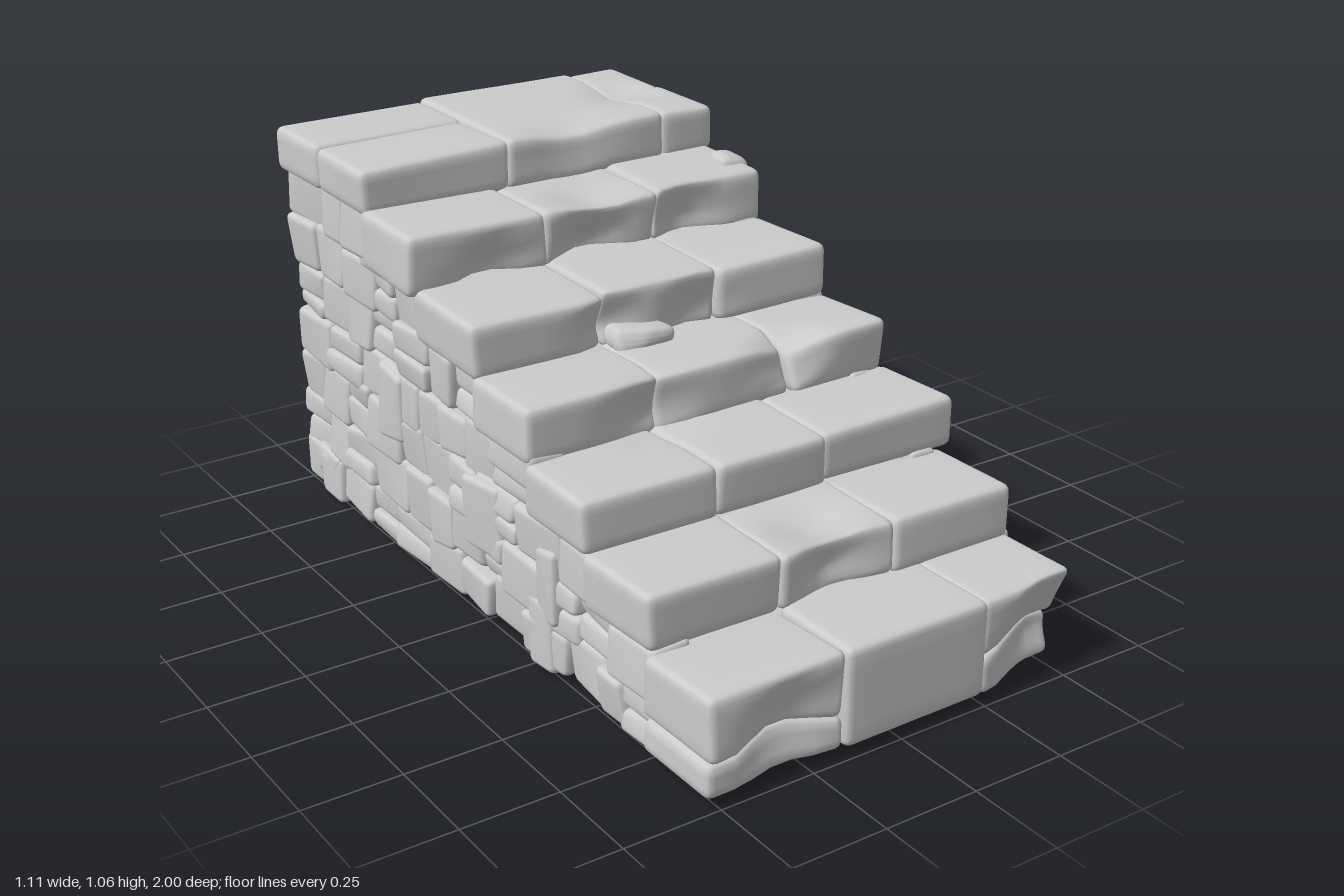
import * as THREE from 'three';
import { mergeVertices } from 'three/addons/utils/BufferGeometryUtils.js';

const material = new THREE.MeshStandardMaterial({ color: 0xcccccc });

let seed = 11;
function rnd(a = 0, b = 1) {
  seed = (seed * 16807) % 2147483647;
  return a + (b - a) * (seed / 2147483647);
}

// Chips and dents: centre, reach and push
const dents = [
  [[-0.32, 0.80, -0.25], 0.11, [0, 0, -0.06]],
  [[-0.02, 0.81, -0.25], 0.13, [0, 0, -0.07]],
  [[0.28, 0.82, -0.25], 0.13, [0, 0, -0.06]],
  [[0.02, 0.94, -0.33], 0.13, [0, -0.03, 0]],
  [[-0.15, 0.71, 0.02], 0.10, [0, -0.01, -0.05]],
  [[0.10, 0.68, 0.03], 0.12, [0, 0, -0.04]],
  [[-0.18, 0.58, 0.26], 0.13, [0, -0.02, -0.05]],
  [[0.24, 0.66, 0.26], 0.12, [0, -0.04, -0.04]],
  [[0.0, 0.33, 0.75], 0.14, [0, 0, -0.05]],
  [[0.0, 0.40, 0.65], 0.13, [0, -0.03, 0]],
  [[-0.32, 0.12, 1.0], 0.14, [0, 0.02, -0.05]],
  [[0.47, 0.10, 1.0], 0.2, [-0.02, 0.02, -0.08]],
  [[0.08, 1.05, -0.49], 0.14, [0, -0.03, -0.02]],
  [[0.38, 1.05, -0.74], 0.12, [0, -0.03, 0]],
  [[-0.1, 0.45, -1.0], 0.4, [0, 0, 0.03]],
  [[0.2, 0.8, -1.0], 0.3, [0, 0, 0.02]],
].map(([c, r, p]) => ({ c: new THREE.Vector3(...c), r, p: new THREE.Vector3(...p) }));

// Worn stone filling [x0,x1] [y0,y1] [z0,z1]: rounded edges, skewed corners, dents
function stone(name, [x0, x1], [y0, y1], [z0, z1], { r = 0.022, skew = 0.007, n = 10 } = {}) {
  const half = [(x1 - x0) / 2, (y1 - y0) / 2, (z1 - z0) / 2];
  const mid = new THREE.Vector3((x0 + x1) / 2, (y0 + y1) / 2, (z0 + z1) / 2);
  const rad = Math.min(r, ...half.map((h) => h * 0.8));
  const source = new THREE.BoxGeometry(2, 2, 2, n, n, n);
  source.deleteAttribute('uv');
  source.deleteAttribute('normal');
  const geo = mergeVertices(source);
  const corners = Array.from({ length: 8 }, () =>
    new THREE.Vector3(rnd(-skew, skew), rnd(-skew, skew), rnd(-skew, skew)));
  const pos = geo.attributes.position;
  const p = new THREE.Vector3(), inner = new THREE.Vector3();
  // Two rings of every face lie in the rounded edge, the rest spread evenly
  const spread = (t, h) => {
    const i = Math.round((t + 1) * n / 2), e = Math.min(i, n - i), s = Math.sign(t);
    if (e < 2) return s * (e === 0 ? h : h - rad * 0.42);
    return (h - rad) * (i - n / 2) / (n / 2 - 2);
  };
  for (let i = 0; i < pos.count; i++) {
    p.fromBufferAttribute(pos, i);
    p.set(spread(p.x, half[0]), spread(p.y, half[1]), spread(p.z, half[2]));
    inner.set(...p.toArray().map((v, k) => THREE.MathUtils.clamp(v, rad - half[k], half[k] - rad)));
    p.sub(inner);
    if (p.lengthSq() > 0) p.setLength(rad);
    p.add(inner);
    const u = p.toArray().map((v, k) => (v / half[k] + 1) / 2);
    corners.forEach((c, k) => {
      const w = (k & 1 ? u[0] : 1 - u[0]) * (k & 2 ? u[1] : 1 - u[1]) * (k & 4 ? u[2] : 1 - u[2]);
      p.addScaledVector(c, w);
    });
    p.add(mid);
    for (const d of dents) {
      const w = 1 - p.distanceTo(d.c) / d.r;
      if (w > 0) p.addScaledVector(d.p, w);
    }
    pos.setXYZ(i, p.x, p.y, p.z);
  }
  geo.computeVertexNormals();
  const mesh = new THREE.Mesh(geo, material);
  mesh.name = name;
  return mesh;
}

// Course heights and the front of the step that each course carries
const levels = [0.025, 0.145, 0.275, 0.405, 0.532, 0.668, 0.797, 0.935, 1.055];
const fronts = [1, 1, 0.76, 0.51, 0.265, 0.03, -0.25, -0.49];

function createCore() {
  const shape = new THREE.Shape();
  shape.moveTo(-0.93, 0.024);
  shape.lineTo(0.92, 0.024);
  for (let k = 1; k < 8; k++) {
    shape.lineTo(fronts[k] - 0.08, levels[k] - 0.02);
    shape.lineTo(fronts[k] - 0.08, levels[k + 1] - 0.06);
  }
  shape.lineTo(-0.93, levels[8] - 0.06);
  const geo = new THREE.ExtrudeGeometry(shape, { depth: 0.96, bevelEnabled: false });
  geo.rotateY(-Math.PI / 2).translate(0.48, 0, 0);
  const core = new THREE.Mesh(geo, material);
  core.name = 'core';
  return core;
}

function createSteps() {
  const steps = new THREE.Group();
  steps.name = 'steps';
  // Bottom step
  steps.add(
    stone('bottomStepBase', [-0.53, -0.16], [0.025, 0.11], [0.74, 0.995]),
    stone('bottomStepRight', [-0.53, -0.16], [0.107, 0.27], [0.74, 0.99]),
    stone('bottomStepMiddle', [-0.165, 0.25], [0.025, 0.275], [0.74, 1], { skew: 0.003 }),
    stone('bottomStepLeft', [0.235, 0.52], [0.125, 0.275], [0.74, 0.995], { skew: 0.003 }),
    stone('bottomStepLeftBase', [0.235, 0.515], [0.025, 0.13], [0.74, 0.995], { skew: 0.003 }),
    stone('bottomCorner', [0.43, 0.52], [0.005, 0.13], [0.78, 0.95]),
  );
  // Middle steps, three stones each: ends of the row and its two joints
  const rows = [
    [-0.525, -0.16, 0.16, 0.52], [-0.53, -0.165, 0.15, 0.55], [-0.53, -0.15, 0.235, 0.525],
    [-0.53, -0.16, 0.18, 0.52], [-0.55, -0.16, 0.175, 0.51],
  ];
  rows.forEach((xs, i) => {
    const k = i + 2;
    for (let j = 0; j < 3; j++) {
      steps.add(stone('stepStone', [xs[j] - 0.002, xs[j + 1] + 0.002],
        [levels[k] - 0.012, levels[k + 1] + rnd(-0.006, 0.003)],
        [fronts[k + 1] - 0.03, fronts[k] + rnd(-0.01, 0.004)]));
    }
  });
  // Landing
  const y = [levels[7] - 0.012, 1.055], low = [levels[7] - 0.012, 1.045];
  steps.add(
    stone('landingFrontRight', [-0.55, -0.12], low, [-0.752, -0.49]),
    stone('landingBackRight', [-0.55, -0.11], low, [-0.995, -0.748], { skew: 0.003 }),
    stone('landingMiddle', [-0.125, 0.36], y, [-0.995, -0.49], { skew: 0.003 }),
    stone('landingFrontLeft', [0.35, 0.52], y, [-0.75, -0.49]),
    stone('landingBackLeft', [0.355, 0.52], low, [-0.995, -0.745], { skew: 0.003 }),
  );
  return steps;
}

// Irregular masonry on one side; side is +1 for the model's left
function createSideWall(side) {
  const wall = new THREE.Group();
  wall.name = side > 0 ? 'leftWall' : 'rightWall';
  const add = (y, z, out) => {
    const x = side > 0 ? [0.42, out] : [-out - 0.01, -0.42];
    wall.add(stone('wallStone', x, y, z, { r: 0.018, skew: 0.012, n: 6 }));
  };
  for (let k = 0; k < 7; k++) {
    let z = k === 0 ? 0.755 : fronts[k + 1];
    while (z > -0.99) {
      let end = z - rnd(0.1, 0.21);
      if (end < -0.92) end = -0.99;
      const y0 = levels[k] + (k ? rnd(-0.012, 0.004) : 0.002), y1 = levels[k + 1] + rnd(-0.004, 0.012);
      const zs = [end - 0.003, z + 0.003];
      if (rnd() < 0.25) {
        const cut = THREE.MathUtils.lerp(y0, y1, rnd(0.35, 0.65));
        add([y0, cut + 0.002], zs, rnd(0.5, 0.52));
        add([cut - 0.002, y1], zs, rnd(0.5, 0.52));
      } else add([y0, y1], zs, rnd(0.5, 0.523));
      z = end;
    }
  }
  // Larger stones that cross the courses
  add([0.2, 0.4], [-0.05, 0.12], 0.522);
  add([0.01, 0.2], [0.24, 0.35], 0.52);
  add([0.15, 0.34], [0.27, 0.37], 0.518);
  add([0.01, 0.14], [-0.88, -0.76], 0.52);
  add([0.76, 0.93], [-0.58, -0.42], 0.52);
  add([0.33, 0.53], [-0.5, -0.38], 0.518);
  return wall;
}

export function createModel() {
  const model = new THREE.Group();
  model.name = 'stoneStairs';
  model.add(createCore(), createSteps(), createSideWall(1), createSideWall(-1));
  // Smooth back
  model.add(stone('backPanel', [-0.49, 0.485], [0.024, 1.035], [-1, -0.9], { skew: 0.002, n: 16 }));
  // Loose stones: one beside the sixth step, one on the fifth
  model.add(stone('looseStone', [0.44, 0.525], [0.84, 0.95], [-0.42, -0.31], { r: 0.03, skew: 0.015 }));
  model.add(stone('chippedSlab', [-0.14, 0.02], [0.655, 0.705], [0.01, 0.08], { skew: 0.012 }));
  return model;
}
